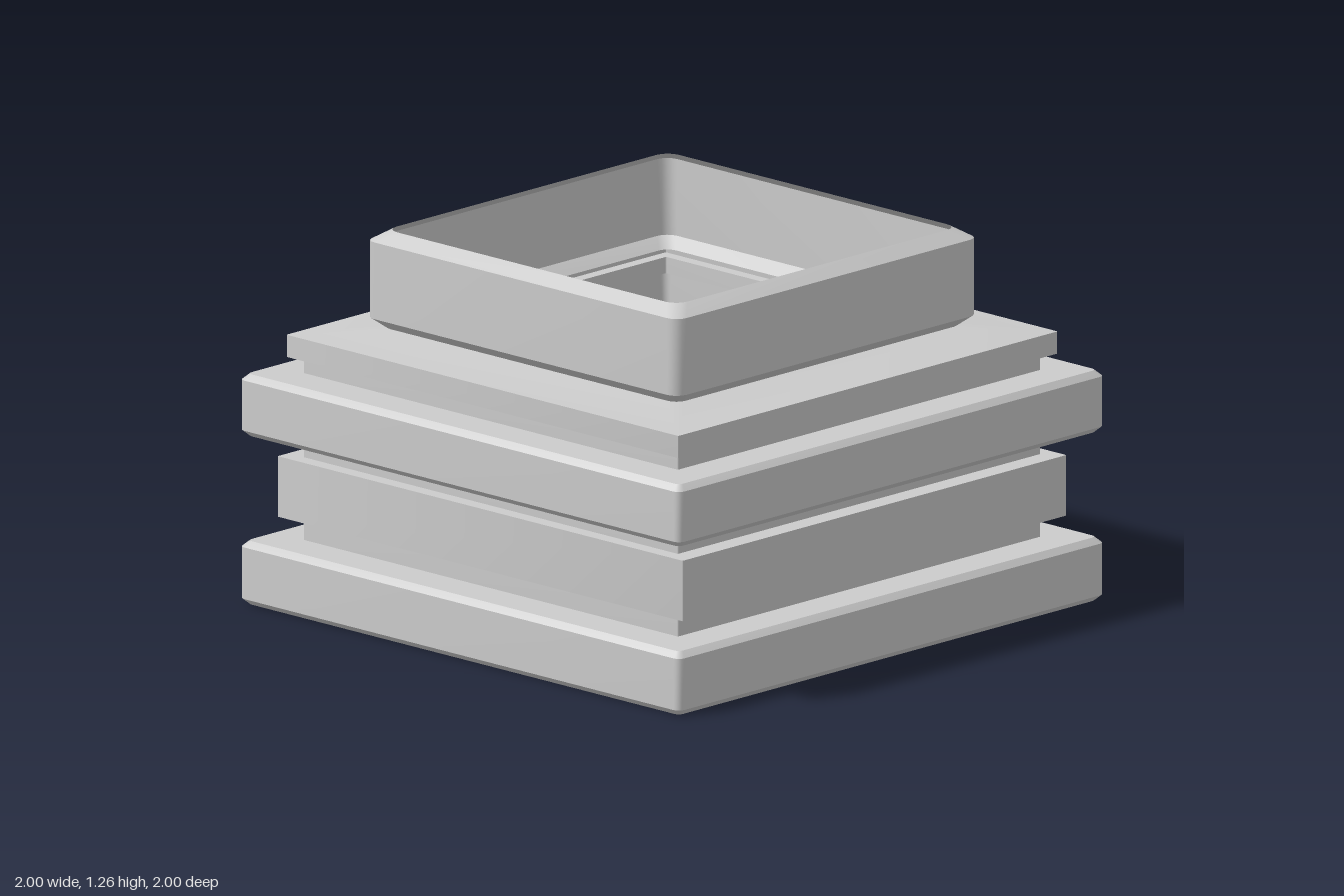
import * as THREE from 'three';
import { toCreasedNormals } from 'three/addons/utils/BufferGeometryUtils.js';

const material = new THREE.MeshStandardMaterial({ color: 0xcccccc, side: THREE.DoubleSide });
const ARC = 4; // segments per rounded corner

// Rounded rectangle loop at height y, counter-clockwise seen from above
function loop([hx, y, r, hz = hx]) {
  const points = [];
  for (let q = 0; q < 4; q++) {
    const sx = q === 0 || q === 3 ? 1 : -1;
    const sz = q < 2 ? 1 : -1;
    for (let i = 0; i <= ARC; i++) {
      const a = (q + i / ARC) * Math.PI / 2;
      points.push([sx * (hx - r) + r * Math.cos(a), y, -(sz * (hz - r) + r * Math.sin(a))]);
    }
  }
  return points;
}

// Thin skin through rows of [half width, y, corner radius, half depth], from bottom to top
function shell(name, rows, floor = false) {
  const n = 4 * (ARC + 1);
  const positions = rows.flatMap(loop).flat();
  const index = [];
  for (let k = 0; k < rows.length - 1; k++) {
    for (let i = 0; i < n; i++) {
      const a = k * n + i, b = k * n + (i + 1) % n;
      index.push(a, b, b + n, a, b + n, a + n);
    }
  }
  if (floor) for (let i = 1; i < n - 1; i++) index.push(0, i + 1, i);
  const geometry = new THREE.BufferGeometry();
  geometry.setAttribute('position', new THREE.Float32BufferAttribute(positions, 3));
  geometry.setIndex(index);
  const mesh = new THREE.Mesh(toCreasedNormals(geometry, 0.6), material);
  mesh.name = name;
  return mesh;
}

export function createModel() {
  const group = new THREE.Group();
  group.name = 'steppedSquareBase';
  const sharp = 0.003;

  // Chamfered flange with ledges running in to the neck
  const flange = (name, y0, y1, start) => shell(name, [
    ...start,
    [0.98, y0, 0.02], [1, y0 + 0.02, 0.025], [1, y1 - 0.02, 0.025], [0.98, y1, 0.02],
    [0.85, y1, sharp],
  ], start.length === 0);

  group.add(
    flange('bottomFlange', 0, 0.215, []),
    // Neck with the wider middle band
    shell('middleBand', [
      [0.85, 0.215, sharp], [0.85, 0.29, sharp],
      [0.9, 0.29, sharp, 0.92], [0.9, 0.495, sharp, 0.92],
      [0.85, 0.495, sharp], [0.85, 0.57, sharp],
    ]),
    flange('upperFlange', 0.57, 0.78, [[0.85, 0.57, sharp]]),
    // Short neck and sloped shoulder
    shell('shoulder', [
      [0.85, 0.78, sharp], [0.85, 0.835, sharp], [0.89, 0.835, sharp],
      [0.89, 0.91, sharp], [0.67, 0.935, 0.04],
    ]),
    // Open collar with chamfered rims
    shell('openCollar', [
      [0.67, 0.935, 0.04], [0.71, 0.97, 0.045], [0.71, 1.23, 0.045], [0.66, 1.265, 0.05],
    ]),
  );
  return group;
}
